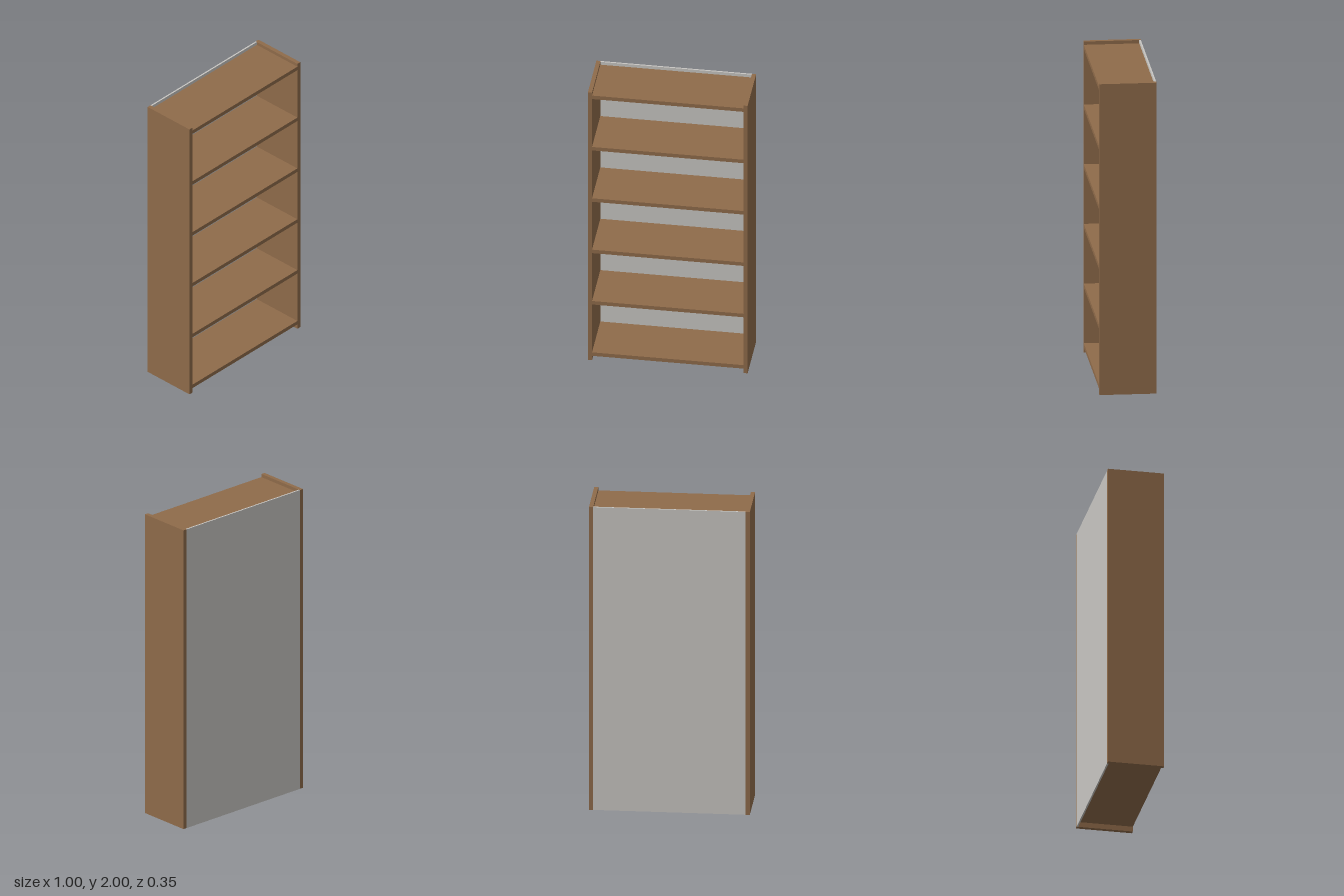
import * as THREE from 'three';

const WIDTH = 1, HEIGHT = 2, DEPTH = 0.355;
const BOARD = 0.026, BACK = 0.01;

export function createModel() {
  const model = new THREE.Group();
  model.name = 'bookcase';

  const wood = new THREE.MeshStandardMaterial({ color: 0x8f6b4a });
  wood.name = 'brown wood';
  const panel = new THREE.MeshStandardMaterial({ color: 0xc8c6c2 });
  panel.name = 'light grey panel';

  const addBoard = (name, size, position, material) => {
    const mesh = new THREE.Mesh(new THREE.BoxGeometry(...size), material);
    mesh.name = name;
    mesh.position.set(...position);
    model.add(mesh);
  };

  // Full-height side boards
  for (const side of [-1, 1]) {
    addBoard(side > 0 ? 'leftSide' : 'rightSide', [BOARD, HEIGHT, DEPTH],
      [side * (WIDTH - BOARD) / 2, HEIGHT / 2, 0], wood);
  }

  // Thin back panel between the sides
  const inner = WIDTH - 2 * BOARD;
  addBoard('backPanel', [inner, HEIGHT, BACK],
    [0, HEIGHT / 2, (BACK - DEPTH) / 2], panel);

  // Six evenly spaced shelves, flush with the front and meeting the back panel
  const lowest = 0.046, highest = 1.966, count = 6;
  for (let i = 0; i < count; i++) {
    const y = lowest + (highest - lowest) * i / (count - 1);
    addBoard(`shelf${i + 1}`, [inner, BOARD, DEPTH - BACK], [0, y, BACK / 2], wood);
  }

  return model;
}
